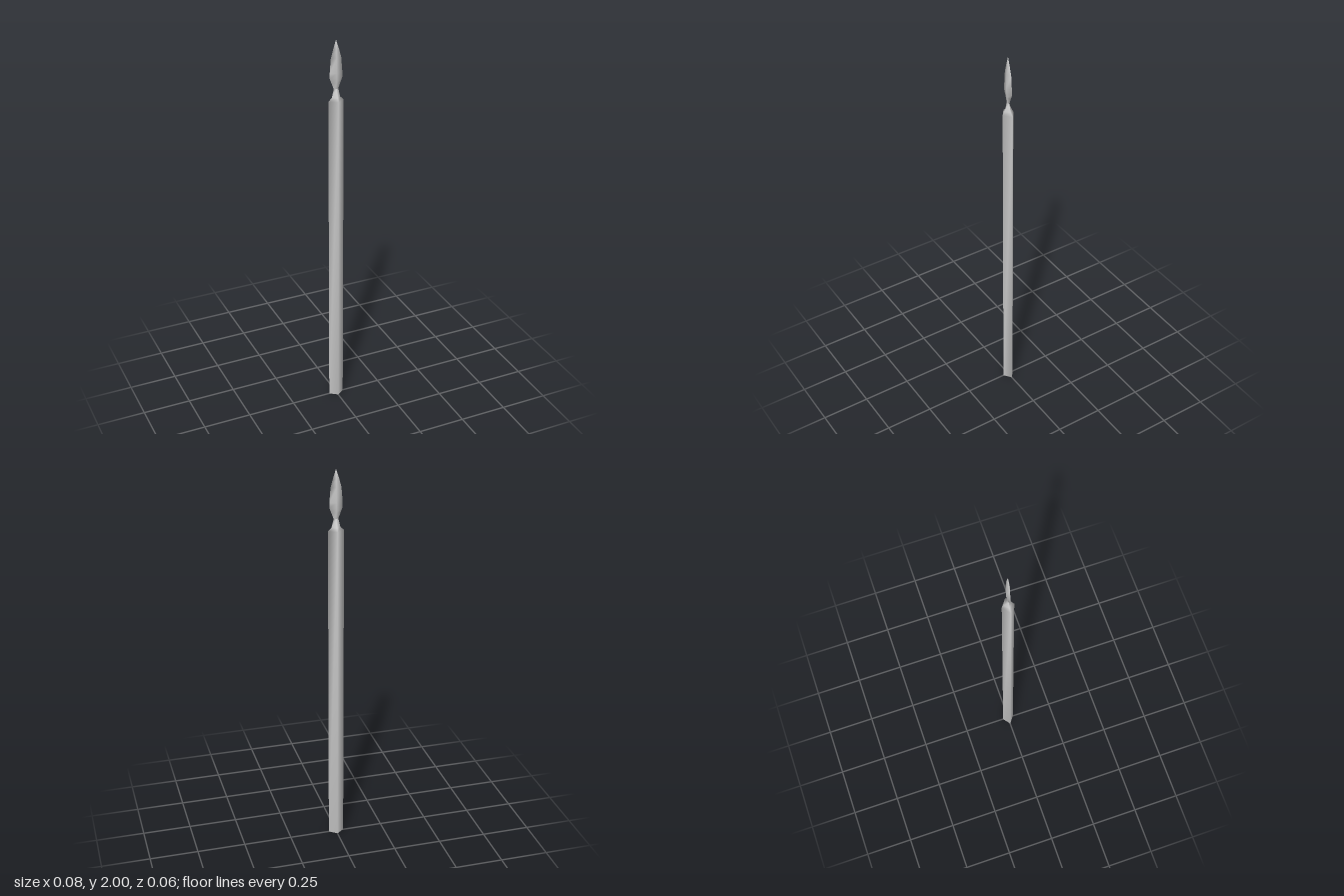
import * as THREE from 'three';

const material = new THREE.MeshStandardMaterial({ color: 0xcccccc });

// Skins diamond cross-sections [y, half width x, half depth z]; optional closing points below and above
function loftDiamond(name, sections, bottomY, topY) {
  const pos = [];
  const index = [];
  for (const [y, x, z] of sections) pos.push(0, y, z, x, y, 0, 0, y, -z, -x, y, 0);
  const last = (sections.length - 1) * 4;
  for (let r = 0; r < last; r += 4) {
    for (let i = 0; i < 4; i++) {
      const a = r + i, b = r + (i + 1) % 4;
      index.push(a, b, b + 4, a, b + 4, a + 4);
    }
  }
  const close = (y, base, up) => {
    const c = pos.length / 3;
    pos.push(0, y, 0);
    for (let i = 0; i < 4; i++) {
      const a = base + i, b = base + (i + 1) % 4;
      index.push(...(up ? [a, b, c] : [b, a, c]));
    }
  };
  if (bottomY !== undefined) close(bottomY, 0, false);
  if (topY !== undefined) close(topY, last, true);

  const geometry = new THREE.BufferGeometry();
  geometry.setAttribute('position', new THREE.Float32BufferAttribute(pos, 3));
  geometry.setIndex(index);
  geometry.computeVertexNormals();
  const mesh = new THREE.Mesh(geometry, material);
  mesh.name = name;
  return mesh;
}

export function createModel() {
  const model = new THREE.Group();
  model.name = 'spear';

  // Long diamond shaft with its shoulder and pinched neck
  model.add(loftDiamond('shaft', [
    [0, 0.04, 0.03],
    [1.695, 0.04, 0.03],
    [1.713, 0.022, 0.021],
    [1.755, 0.012, 0.004],
  ], 0));

  // Flat leaf-shaped blade
  model.add(loftDiamond('blade', [
    [1.755, 0.012, 0.004],
    [1.785, 0.023, 0.007],
    [1.81, 0.033, 0.009],
    [1.835, 0.033, 0.01],
    [1.91, 0.027, 0.008],
    [1.95, 0.016, 0.005],
  ], undefined, 2));

  return model;
}
